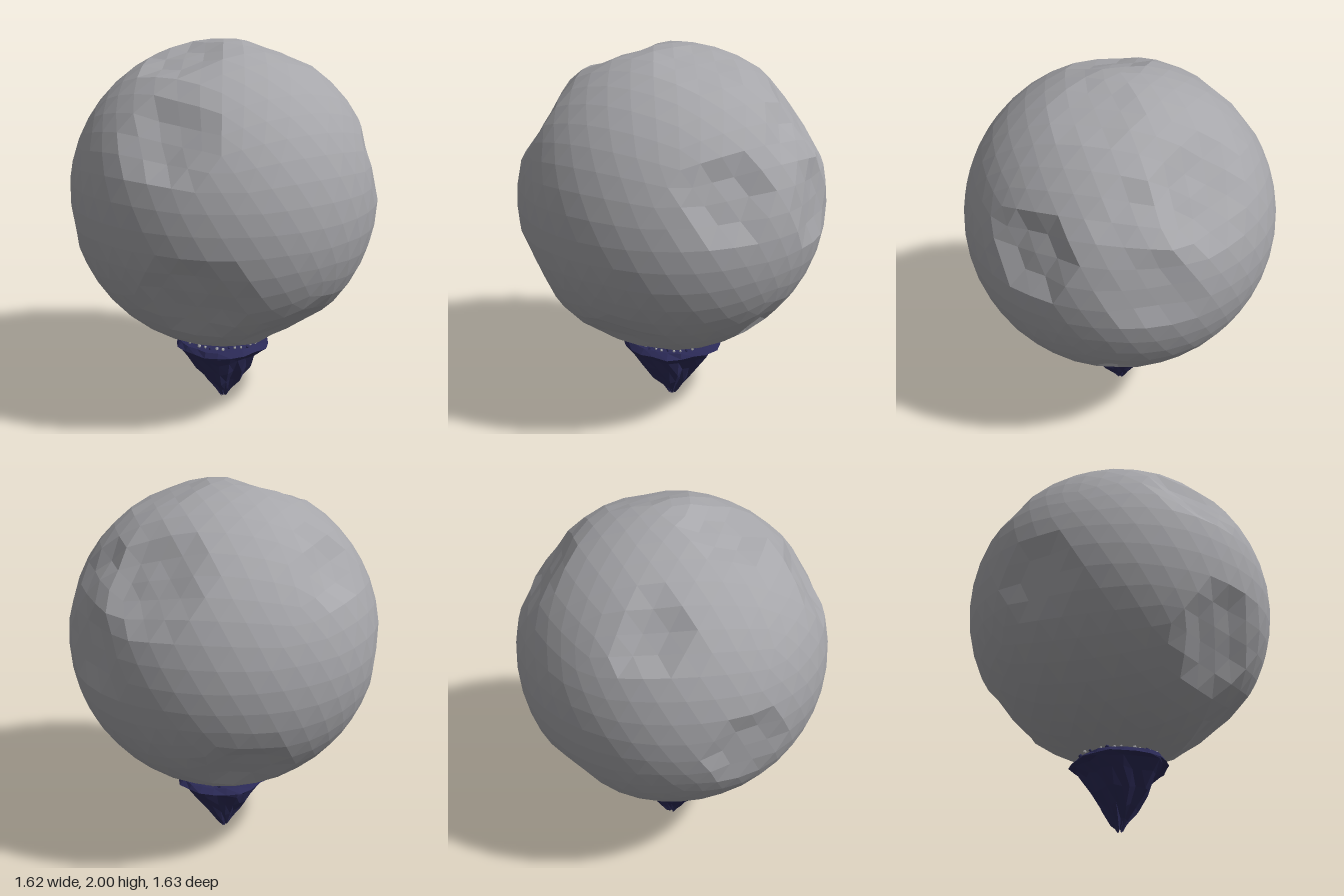
import * as THREE from 'three';

const stone = new THREE.MeshStandardMaterial({ color: 0xa6a6aa, flatShading: true });
stone.name = 'greyStone';
const navy = new THREE.MeshStandardMaterial({ color: 0x2b2a56, flatShading: true });
navy.name = 'navyRock';

const RADIUS = 0.815, CENTER_Y = 1.185;

// Crater centres (relative to the sphere centre), radius and depth
const craters = [
  [0.45, 0.21, 0.64, 0.22, 0.05],
  [0.65, 0.48, -0.12, 0.26, 0.05],
  [0.62, 0.48, 0.24, 0.11, 0.03],
  [0.79, 0.09, 0.14, 0.21, 0.035],
  [-0.66, 0.44, 0.17, 0.22, 0.05],
  [-0.27, 0.76, -0.04, 0.22, 0.04],
  [0.18, 0.76, 0.2, 0.18, 0.02],
  [-0.06, 0.48, -0.65, 0.18, 0.045],
  [-0.51, -0.09, -0.63, 0.2, 0.04],
  [-0.66, -0.36, 0.3, 0.25, 0.045],
  [0.53, -0.56, 0.25, 0.12, 0.06],
  [-0.1, -0.62, 0.5, 0.23, 0.045],
  [0.42, -0.52, -0.54, 0.22, 0.045],
].map(([x, y, z, radius, depth]) => ({
  center: new THREE.Vector3(x, y, z).setLength(RADIUS), radius, depth,
}));

function seeded(seed) {
  return () => {
    seed = (seed * 16807) % 2147483647;
    return seed / 2147483647;
  };
}

// Faceted ball, pushed in with steep walls at each crater
function makeMoon() {
  const geometry = new THREE.IcosahedronGeometry(RADIUS, 7);
  geometry.rotateZ(-0.5536);
  const pos = geometry.attributes.position;
  const p = new THREE.Vector3();
  for (let i = 0; i < pos.count; i++) {
    p.fromBufferAttribute(pos, i);
    let drop = 0;
    for (const c of craters) {
      const inside = 1 - p.distanceTo(c.center) / c.radius;
      drop = Math.max(drop, c.depth * THREE.MathUtils.clamp(inside * 2.5, 0, 1));
    }
    p.setLength(RADIUS - drop);
    pos.setXYZ(i, p.x, p.y, p.z);
  }
  geometry.computeVertexNormals();
  const mesh = new THREE.Mesh(geometry, stone);
  mesh.name = 'moon';
  mesh.position.y = CENTER_Y;
  return mesh;
}

// Jagged pointed rock, lofted from rough rings running top to bottom
function makeRock() {
  const random = seeded(41);
  const sides = 22;
  const rings = [ // height, radius, roughness
    [0.368, 0, 0], [0.372, 0.19, 0.05], [0.366, 0.235, 0.06], [0.34, 0.262, 0.08],
    [0.325, 0.235, 0.1], [0.28, 0.19, 0.14], [0.2, 0.142, 0.2],
    [0.12, 0.092, 0.25], [0.05, 0.042, 0.3], [0.012, 0.016, 0.3], [0.02, 0, 0],
  ];
  const points = [];
  for (const [y, r, rough] of rings) {
    for (let i = 0; i < sides; i++) {
      const a = (i / sides) * Math.PI * 2;
      const ridge = 1 + rough * 0.35 * Math.sin(a * 5 + 1);
      const k = r * ridge * (1 + rough * (random() - 0.5));
      const dy = (random() - 0.5) * rough * 0.1;
      points.push(Math.cos(a) * k * 1.06, Math.max(0, y + dy), Math.sin(a) * k * 0.95);
    }
  }
  const index = [];
  for (let j = 0; j < rings.length - 1; j++) {
    for (let i = 0; i < sides; i++) {
      const n = (i + 1) % sides;
      const a = j * sides + i, b = j * sides + n;
      const c = a + sides, d = b + sides;
      index.push(a, b, c, b, d, c);
    }
  }
  const geometry = new THREE.BufferGeometry();
  geometry.setAttribute('position', new THREE.Float32BufferAttribute(points, 3));
  geometry.setIndex(index);
  geometry.computeVertexNormals();
  const mesh = new THREE.Mesh(geometry, navy);
  mesh.name = 'pointedRock';
  return mesh;
}

// Tiny chips scattered round the top of the rock
function makeChips() {
  const group = new THREE.Group();
  group.name = 'chips';
  const random = seeded(7);
  const geometry = new THREE.DodecahedronGeometry(0.01, 0);
  for (let i = 0; i < 40; i++) {
    const chip = new THREE.Mesh(geometry, i % 3 ? stone : navy);
    chip.name = i % 3 ? 'stoneChip' : 'rockChip';
    const a = (i / 40) * Math.PI * 2;
    const r = 0.19 + random() * 0.035;
    chip.position.set(Math.cos(a) * r, 0.376, Math.sin(a) * r);
    chip.rotation.set(random() * 3, random() * 3, 0);
    chip.scale.setScalar(0.6 + random() * 0.5);
    group.add(chip);
  }
  return group;
}

export function createModel() {
  const model = new THREE.Group();
  model.name = 'moonOnRock';
  model.add(makeMoon(), makeRock(), makeChips());
  return model;
}
